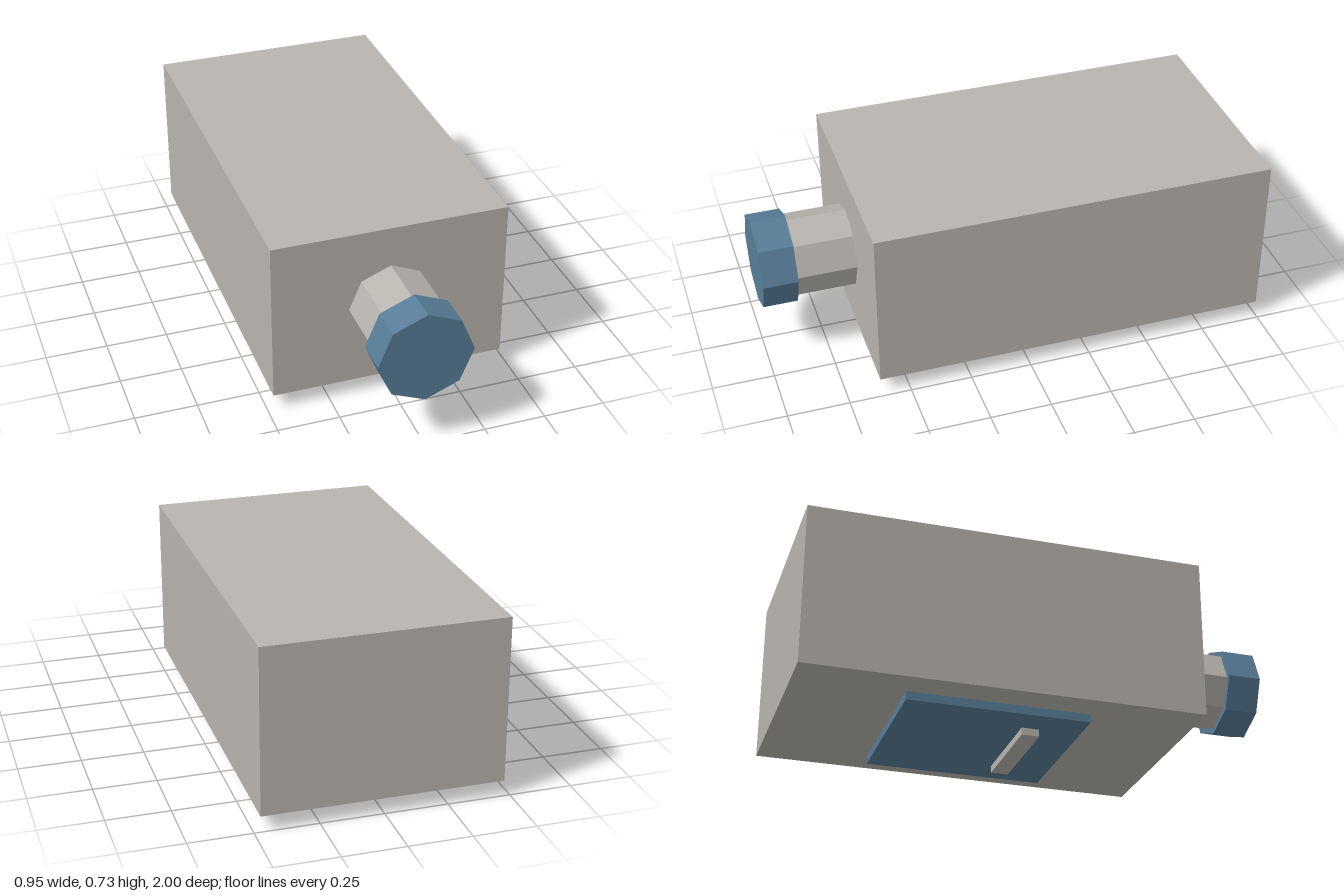
import * as THREE from 'three';

const grey = new THREE.MeshStandardMaterial({ color: 0xb8b4ae, flatShading: true });
grey.name = 'warm grey';
const blue = new THREE.MeshStandardMaterial({ color: 0x587d98, flatShading: true });
blue.name = 'steel blue';

// Box given by its width and its y and z ranges, centred on x
function box(name, material, width, y0, y1, z0, z1) {
  const mesh = new THREE.Mesh(new THREE.BoxGeometry(width, y1 - y0, z1 - z0), material);
  mesh.position.set(0, (y0 + y1) / 2, (z0 + z1) / 2);
  mesh.name = name;
  return mesh;
}

// Eight-sided cylinder along z, with a corner at the top
function octagon(name, material, radius, z0, z1) {
  const geometry = new THREE.CylinderGeometry(radius, radius, z1 - z0, 8).rotateX(Math.PI / 2);
  const mesh = new THREE.Mesh(geometry, material);
  mesh.position.set(0, 0.397, (z0 + z1) / 2);
  mesh.name = name;
  return mesh;
}

export function createModel() {
  const model = new THREE.Group();
  model.name = 'boxCamera';
  model.add(
    // Housing
    box('housing', grey, 0.95, 0.064, 0.729, -1, 0.618),
    // Lens barrel and front cap
    octagon('lensBarrel', grey, 0.167, 0.618, 0.86),
    octagon('lensCap', blue, 0.19, 0.86, 1),
    // Mounting plate and the bar beneath it
    box('mountingPlate', blue, 0.685, 0.03, 0.064, -0.56, 0.183),
    box('mountingBar', grey, 0.427, 0, 0.03, -0.06, 0.012),
  );
  return model;
}
